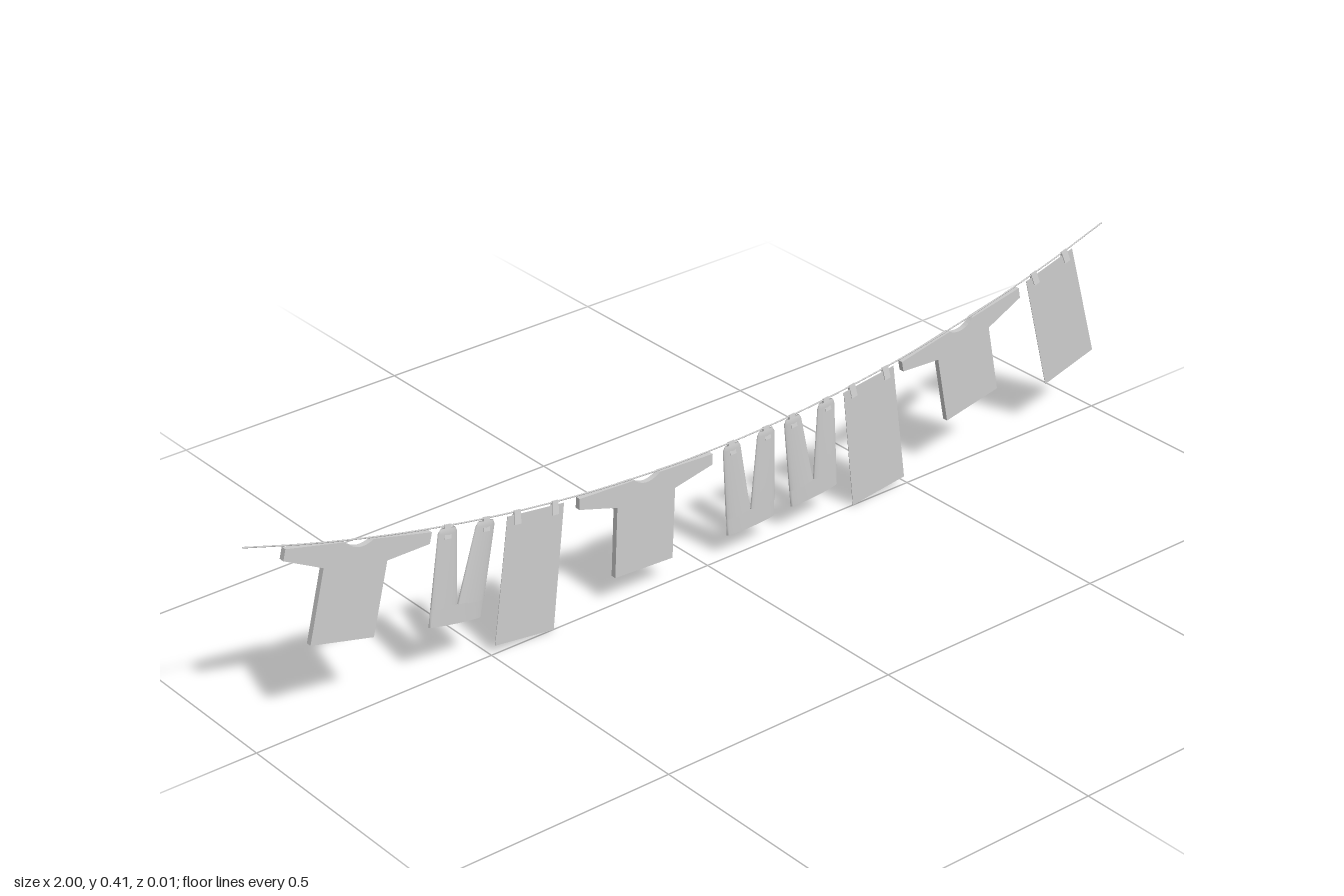
import * as THREE from 'three';

const mat = new THREE.MeshStandardMaterial({ color: 0xcccccc, side: THREE.DoubleSide });
const ropeY = (x) => 0.247 + 0.164 * x * x;
const ropeTilt = (x) => Math.atan(0.328 * x);

function add(parent, geometry, name) {
  const mesh = new THREE.Mesh(geometry, mat);
  mesh.name = name;
  parent.add(mesh);
  return mesh;
}

// Flat cloth cut from a shape, centred on z = 0
function slab(shape, depth) {
  return new THREE.ExtrudeGeometry(shape, { depth, bevelEnabled: false, curveSegments: 10 })
    .translate(0, 0, -depth / 2);
}

// Flattened sleeve of cloth through elliptical rows [centreX, halfWidth, halfDepth, y]
function clothTube(rows, seg = 16) {
  const pos = [], index = [];
  for (const [cx, hw, hz, y] of rows)
    for (let i = 0; i <= seg; i++) {
      const a = (i / seg) * Math.PI * 2;
      pos.push(cx + Math.cos(a) * hw, y, Math.sin(a) * hz);
    }
  for (let r = 0; r < rows.length - 1; r++)
    for (let i = 0; i < seg; i++) {
      const a = r * (seg + 1) + i, b = a + seg + 1;
      index.push(a, a + 1, b, a + 1, b + 1, b);
    }
  const g = new THREE.BufferGeometry();
  g.setAttribute('position', new THREE.Float32BufferAttribute(pos, 3));
  g.setIndex(index);
  g.computeVertexNormals();
  return g;
}

// T-shirt with spread sleeves and a scooped neck
function shirt(group) {
  const s = new THREE.Shape();
  s.moveTo(-0.154, 0);
  s.lineTo(-0.154, -0.022);
  s.lineTo(-0.067, -0.044);
  s.lineTo(-0.067, -0.188);
  s.lineTo(0.067, -0.188);
  s.lineTo(0.067, -0.044);
  s.lineTo(0.154, -0.022);
  s.lineTo(0.154, 0);
  s.lineTo(0.03, 0);
  s.quadraticCurveTo(0, -0.024, -0.03, 0);
  s.closePath();
  add(group, slab(s, 0.011), 'shirtCloth');
}

// Two small boards leaning together over the rope
function pegs(group) {
  for (const x of [-0.042, 0.042])
    for (const side of [-1, 1]) {
      const peg = add(group, new THREE.BoxGeometry(0.014, 0.026, 0.0015), 'peg');
      peg.position.set(x, -0.009, side * 0.003);
      peg.rotation.x = -side * 0.2;
    }
}

// Trousers hung upside down by the leg ends
function trousers(group) {
  for (const side of [-1, 1])
    add(group, clothTube([
      [side * 0.041, 0.016, 0.003, -0.003],
      [side * 0.041, 0.021, 0.005, -0.012],
      [side * 0.0295, 0.0295, 0.006, -0.157],
    ]), 'trouserLeg');
  add(group, clothTube([[0, 0.059, 0.006, -0.155], [0, 0.058, 0.006, -0.192]]), 'trouserWaist');
  pegs(group);
}

// Thin towel, slightly wider at the hem
function towel(group) {
  const s = new THREE.Shape([[-0.063, -0.005], [-0.066, -0.258], [0.066, -0.258], [0.063, -0.005]]
    .map(([x, y]) => new THREE.Vector2(x, y)));
  add(group, slab(s, 0.001), 'towelCloth');
  pegs(group);
}

export function createModel() {
  const model = new THREE.Group();
  model.name = 'clothesline';

  // Sagging rope
  const points = [];
  for (let i = 0; i <= 16; i++) {
    const x = -1 + i / 8;
    points.push(new THREE.Vector3(x, ropeY(x), 0));
  }
  add(model, new THREE.TubeGeometry(new THREE.CatmullRomCurve3(points), 48, 0.0014, 6), 'rope');

  // Washing, each piece tilted with the rope
  const washing = [
    ['shirt', shirt, [-0.771, -0.146, 0.624]],
    ['trousers', trousers, [-0.543, 0.098, 0.245]],
    ['towel', towel, [-0.393, 0.393, 0.859]],
  ];
  for (const [name, build, places] of washing)
    for (const x of places) {
      const item = new THREE.Group();
      item.name = name;
      item.position.set(x, ropeY(x) - 0.001, 0);
      item.rotation.z = ropeTilt(x);
      build(item);
      model.add(item);
    }
  return model;
}
